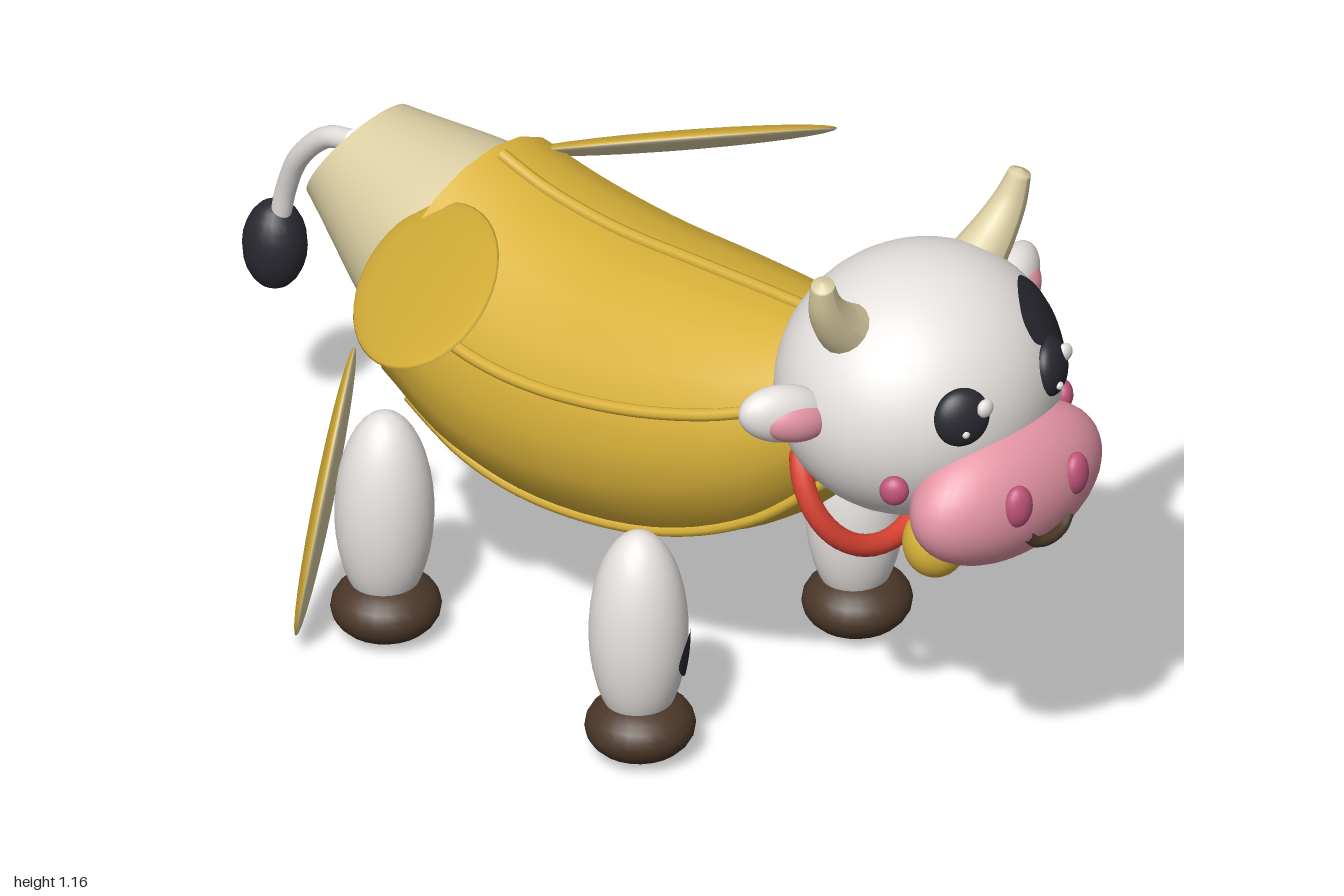
import * as THREE from 'three';

const V = (x, y, z) => new THREE.Vector3(x, y, z);

export function createModel() {
  const model = new THREE.Group();
  model.name = 'bananaCow';

  const mat = (name, color, side = THREE.FrontSide) => {
    const m = new THREE.MeshStandardMaterial({ color, side });
    m.name = name;
    return m;
  };
  const yellow = mat('peelYellow', 0xdab23a);
  const cream = mat('cream', 0xdccfa4);
  const white = mat('white', 0xe6e2df);
  const pink = mat('pink', 0xe595a6);
  const rose = mat('deepPink', 0xc0547a);
  const black = mat('black', 0x282930, THREE.DoubleSide);
  const brown = mat('brown', 0x4b3728);
  const red = mat('red', 0xdc4433);

  const add = (name, geo, material, parent = model) => {
    const m = new THREE.Mesh(geo, material);
    m.name = name;
    parent.add(m);
    return m;
  };
  const ball = (name, material, pos, size, rot = [0, 0, 0], seg = 32) => {
    const m = add(name, new THREE.SphereGeometry(1, seg, seg * 0.6 | 0), material);
    m.position.set(...pos);
    m.scale.set(...size);
    m.rotation.set(...rot);
    return m;
  };

  // Skin a list of equal-length rings running front to back
  const loft = (rings) => {
    const n = rings[0].length, pos = [], idx = [];
    rings.forEach((r) => r.forEach((p) => pos.push(p.x, p.y, p.z)));
    for (let i = 0; i < rings.length - 1; i++) for (let j = 0; j < n; j++) {
      const a = i * n + j, b = i * n + (j + 1) % n;
      idx.push(a, a + n, b, b, a + n, b + n);
    }
    const g = new THREE.BufferGeometry();
    g.setAttribute('position', new THREE.Float32BufferAttribute(pos, 3));
    g.setIndex(idx);
    g.computeVertexNormals();
    return g;
  };
  // Cross-section rows: top z, top y, bottom z, bottom y, half width
  const hull = (rows) => {
    const top = new THREE.CatmullRomCurve3(rows.map((r) => V(r[4], r[1], r[0])));
    const bot = new THREE.CatmullRomCurve3(rows.map((r) => V(0, r[3], r[2])));
    return (t, a, k = 1) => {
      const p = top.getPoint(t), q = bot.getPoint(t), s = Math.sin(a) * k;
      return V(Math.cos(a) * p.x * k, (p.y + q.y) / 2 + s * (p.y - q.y) / 2,
        (p.z + q.z) / 2 + s * (p.z - q.z) / 2);
    };
  };
  const ring = (f, t, n, k = 1) =>
    Array.from({ length: n }, (_, j) => f(t, Math.PI / 2 + j / n * Math.PI * 2, k));
  const hullMeshes = (name, f, n, steps, material) => {
    add(name, loft(Array.from({ length: steps + 1 }, (_, i) => ring(f, i / steps, n))), material);
    add(name + 'End', loft([ring(f, 1, n), ring(f, 1, n, 0)]), material);
  };

  // Banana body with five seams, and the bare fruit at the rear
  const skin = hull([
    [0.60, 0.87, 0.64, 0.69, 0.10], [0.45, 0.875, 0.52, 0.57, 0.17],
    [0.30, 0.87, 0.38, 0.44, 0.23], [0.12, 0.86, 0.17, 0.335, 0.27],
    [-0.08, 0.85, -0.10, 0.288, 0.288], [-0.25, 0.865, -0.30, 0.305, 0.28],
    [-0.38, 0.90, -0.49, 0.38, 0.25]]);
  hullMeshes('peelBody', skin, 20, 28, yellow);
  const fruit = hull([[-0.30, 0.86, -0.40, 0.42, 0.21], [-0.40, 0.87, -0.50, 0.44, 0.212],
    [-0.65, 0.865, -0.77, 0.66, 0.12]]);
  hullMeshes('bareFruit', fruit, 32, 12, cream);
  for (let s = 0; s < 5; s++) {
    const a = Math.PI / 2 + s * Math.PI * 0.4;
    const pts = Array.from({ length: 15 }, (_, i) => skin(0.13 + i / 14 * 0.84, a, 1.005));
    add('peelSeam', new THREE.TubeGeometry(new THREE.CatmullRomCurve3(pts), 40, 0.012, 8), yellow);
  }

  // Peel flaps: thin lenses, yellow outside and cream inside
  const flap = (name, centre, major, minor, outward, a, b) => {
    const z = major.clone().normalize();
    const x = minor.clone().addScaledVector(z, -minor.dot(z)).normalize();
    let y = z.clone().cross(x);
    if (y.dot(outward) < 0) { x.negate(); y.negate(); }
    const g = new THREE.Group();
    g.name = name;
    g.quaternion.setFromRotationMatrix(new THREE.Matrix4().makeBasis(x, y, z));
    g.position.copy(centre);
    g.scale.set(b, 0.018, a);
    model.add(g);
    add('flapOutside', new THREE.SphereGeometry(1, 40, 8, 0, Math.PI * 2, 0, Math.PI / 2), yellow, g);
    add('flapInside', new THREE.SphereGeometry(1, 40, 8, 0, Math.PI * 2, Math.PI / 2, Math.PI / 2), cream, g);
  };

  // Tube whose radius runs from r0 to r1, closed at the far end
  const taper = (pts, r0, r1) => {
    const curve = new THREE.CatmullRomCurve3(pts), n = 30;
    const g = new THREE.TubeGeometry(curve, n, 1, 16);
    const p = g.attributes.position, uv = g.attributes.uv, v = V(0, 0, 0);
    for (let i = 0; i < p.count; i++) {
      const t = uv.getX(i), c = curve.getPointAt(t);
      v.fromBufferAttribute(p, i).sub(c).multiplyScalar(t > 0.99 ? 0 : r0 + (r1 - r0) * t).add(c);
      p.setXYZ(i, v.x, v.y, v.z);
    }
    g.computeVertexNormals();
    return g;
  };

  // Flat patch with a rounded outline, wrapped over an ellipsoid's front
  const patch = (name, outline, c, r) => {
    const loop = new THREE.CatmullRomCurve3(outline.map(([x, y]) => V(x, y, 0)), true).getPoints(48);
    loop.pop();
    const mid = loop.reduce((s, p) => s.add(p), V(0, 0, 0)).divideScalar(loop.length);
    const rings = [1, 0.8, 0.6, 0.4, 0.2, 0].map((k) => loop.map((p) => {
      const q = mid.clone().lerp(p, k), u = (q.x - c[0]) / r[0], w = (q.y - c[1]) / r[1];
      q.z = c[2] + r[2] * Math.sqrt(Math.max(0.01, 1 - u * u - w * w)) + 0.005;
      return q;
    }));
    // outline is clockwise, so run from the centre outwards
    add(name, loft(rings), black);
  };

  // Head and muzzle
  const headC = [0, 0.842, 0.66], headR = [0.278, 0.248, 0.25];
  ball('head', white, headC, headR, [0, 0, 0], 48);
  ball('muzzle', pink, [0, 0.703, 0.872], [0.228, 0.136, 0.114], [-0.1, 0, 0], 40);
  patch('eyePatch', [[0.077, 1.0], [0.11, 1.024], [0.16, 1.022], [0.21, 0.98], [0.243, 0.92],
    [0.24, 0.872], [0.2, 0.862], [0.15, 0.9], [0.11, 0.94], [0.078, 0.965]], headC, headR);
  const mouth = [[-0.055, 0.655], [-0.035, 0.636], [0, 0.629], [0.035, 0.636], [0.055, 0.655]]
    .map(([x, y]) => V(x, y, 0.981 - x * x * 2));
  add('mouth', new THREE.TubeGeometry(new THREE.CatmullRomCurve3(mouth), 20, 0.011, 8), brown);

  for (const s of [-1, 1]) {
    // Face details
    ball('eye', black, [s * 0.12, 0.895, 0.872], [0.054, 0.056, 0.03], [-0.15, s * 0.45, 0]);
    const ex = s * 0.12;
    ball('eyeShine', white, [ex + 0.025, 0.917, 0.896 - s * 0.012], [0.018, 0.018, 0.012], [0, 0, 0], 16);
    ball('eyeGlint', white, [ex - 0.014, 0.874, 0.902 + s * 0.006], [0.008, 0.008, 0.007], [0, 0, 0], 12);
    ball('nostril', rose, [s * 0.078, 0.727, 0.972], [0.03, 0.042, 0.022], [0, s * 0.2, 0], 20);
    ball('cheek', rose, [s * 0.227, 0.76, 0.805], [0.027, 0.029, 0.02], [0, s * 0.9, 0], 20);

    // Ears and horns
    ball('ear', white, [s * 0.31, 0.882, 0.61], [0.09, 0.056, 0.042], [0, s * 0.4, s * 0.25]);
    ball('innerEar', pink, [s * 0.305, 0.872, 0.632], [0.068, 0.04, 0.034], [0, s * 0.4, s * 0.25]);
    add('horn', taper([V(s * 0.165, 1.0, 0.645), V(s * 0.215, 1.05, 0.65), V(s * 0.248, 1.1, 0.657),
      V(s * 0.268, 1.163, 0.667)], 0.056, 0.02), cream);

    // Peel flaps
    flap('upperFlap', V(s * 0.34, 0.82, -0.235), V(s * 0.67, 0.09, 0.74), V(s * 0.74, -0.645, -0.67),
      V(0, 1, 0), 0.29, 0.155);
    flap('lowerFlap', V(s * 0.33, 0.275, -0.49), V(s * 0.4, -0.9, 0.1), V(s * 0.75, 0.3, 0.58),
      V(s * 0.5, 0, -0.85), 0.27, 0.145);

    // Legs and hooves
    for (const z of [0.24, -0.38]) {
      ball('leg', white, [s * 0.292, 0.265, z], [0.092, 0.205, 0.09]);
      ball('hoof', brown, [s * 0.293, 0.068, z + 0.005], [0.103, 0.063, 0.1], [0, 0, 0], 24);
    }
  }
  patch('legPatch', [[-0.285, 0.215], [-0.275, 0.245], [-0.25, 0.268], [-0.226, 0.262], [-0.224, 0.22],
    [-0.235, 0.18], [-0.262, 0.185]], [-0.292, 0.265, 0.24], [0.092, 0.205, 0.09]);

  // Collar and bell
  const collar = add('collar', new THREE.TorusGeometry(0.162, 0.021, 14, 48), red);
  collar.position.set(0, 0.618, 0.53);
  collar.rotation.x = -0.39;
  ball('bell', yellow, [0, 0.507, 0.7], [0.06, 0.068, 0.06]);

  // Tail
  add('tail', taper([V(0, 0.775, -0.72), V(0.004, 0.755, -0.785), V(0.012, 0.68, -0.86),
    V(0.025, 0.59, -0.905), V(0.03, 0.49, -0.93)], 0.021, 0.019), white);
  ball('tailTuft', black, [0.03, 0.455, -0.938], [0.06, 0.09, 0.06], [0, 0, 0], 20);

  return model;
}
